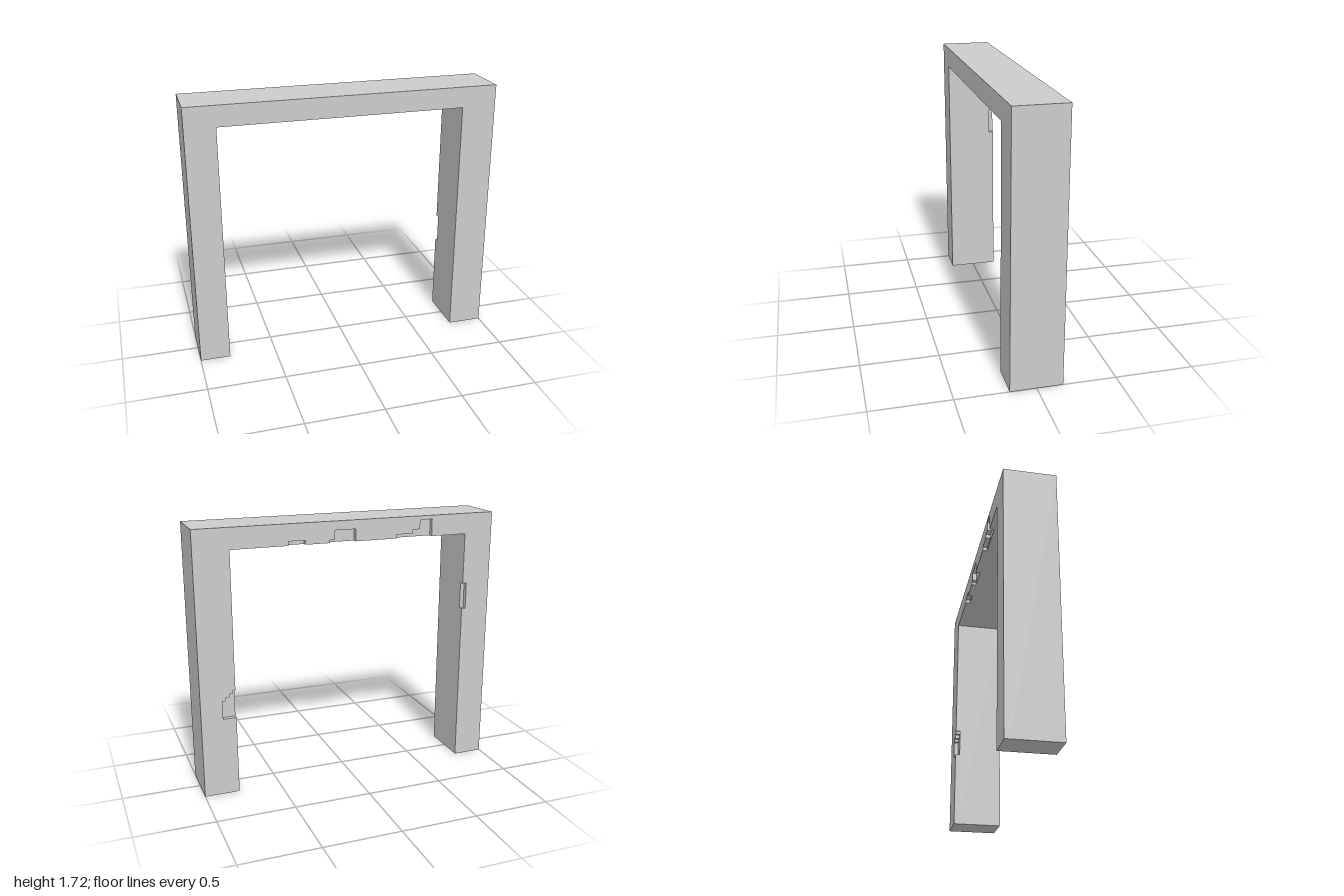
import * as THREE from 'three';

const BOTTOM = 0, TOP = 1.72, HALF_DEPTH = 0.165, NOTCH_DEPTH = 0.03;
const INNER_R = -0.805, INNER_L = 0.775, SOFFIT = 1.585;

// Portal outline: the outer edge is fixed, the inner edge may carry notches.
function portal(name, legL, soffit, legR, z, depth) {
  const shape = new THREE.Shape([
    [-1, BOTTOM], [INNER_R, BOTTOM], ...legR, [INNER_R, SOFFIT], ...soffit,
    [INNER_L, SOFFIT], ...legL, [INNER_L, BOTTOM], [1, BOTTOM], [1, TOP], [-1, TOP],
  ].map(([x, y]) => new THREE.Vector2(x, y)));
  const geometry = new THREE.ExtrudeGeometry(shape, { depth, bevelEnabled: false });
  geometry.translate(0, 0, z);
  const mesh = new THREE.Mesh(geometry, new THREE.MeshStandardMaterial({ color: 0xcccccc, flatShading: true }));
  mesh.name = name;
  return mesh;
}

// Steps [from, to, height] along the soffit, listed from -x to +x.
function soffitNotches(steps) {
  return steps.flatMap(([a, b, h], i) => {
    const pts = [[a, SOFFIT + h], [b, SOFFIT + h]];
    if (i === 0 || steps[i - 1][1] !== a) pts.unshift([a, SOFFIT]);
    if (i === steps.length - 1 || steps[i + 1][0] !== b) pts.push([b, SOFFIT]);
    return pts;
  });
}

export function createModel() {
  const group = new THREE.Group();
  group.name = 'doorFrame';

  // Plain frame through most of the depth
  group.add(portal('frame', [], [], [], -HALF_DEPTH + NOTCH_DEPTH, 2 * HALF_DEPTH - NOTCH_DEPTH));

  // Thin rear layer with chipped inner edges
  const soffit = soffitNotches([
    [-0.56, -0.475, 0.11], [-0.475, -0.425, 0.05], [-0.425, -0.31, 0.025],
    [-0.03, 0.11, 0.077], [0.11, 0.14, 0.02],
    [0.30, 0.41, 0.027],
  ]);
  const legL = [
    [INNER_L, 0.70], [0.79, 0.70], [0.79, 0.68], [0.815, 0.68], [0.815, 0.655],
    [0.84, 0.655], [0.84, 0.635], [0.86, 0.635], [0.86, 0.515], [INNER_L, 0.515],
  ];
  const legR = [[INNER_R, 1.075], [INNER_R - 0.027, 1.075], [INNER_R - 0.027, 1.25], [INNER_R, 1.25]];
  group.add(portal('notchedBackLayer', legL, soffit, legR, -HALF_DEPTH, NOTCH_DEPTH));

  return group;
}
